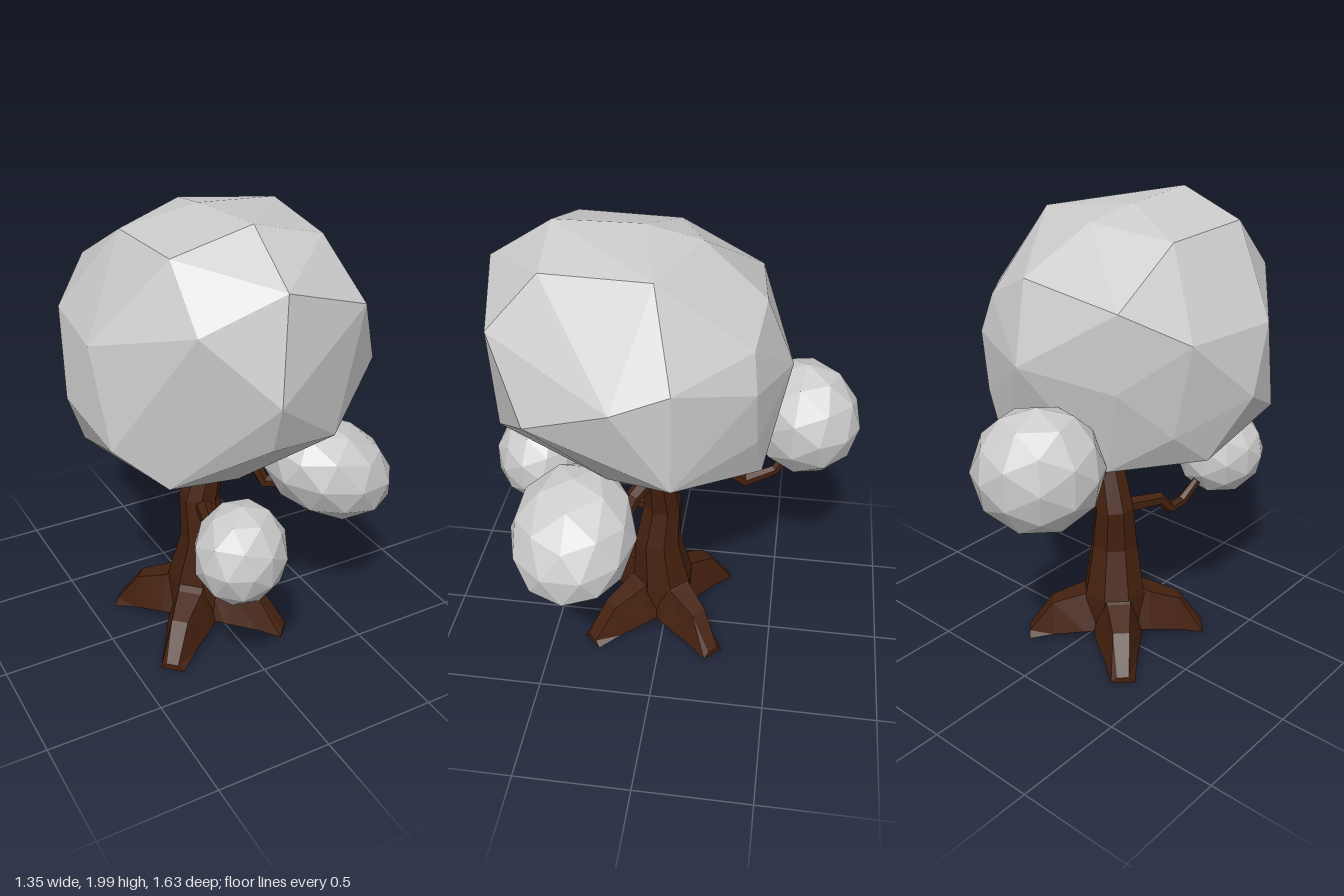
import * as THREE from 'three';
import { ConvexGeometry } from 'three/addons/geometries/ConvexGeometry.js';

const V = (x, y, z) => new THREE.Vector3(x, y, z);
const leafMat = new THREE.MeshStandardMaterial({ color: 0xcccccc, flatShading: true });
const barkMat = new THREE.MeshStandardMaterial({ color: 0x45210f, flatShading: true });

// Skin a list of equal-length rings (counter-clockwise about the path) and cap both ends.
function loft(rings) {
  const pos = [], idx = [], n = rings[0].length;
  rings.forEach(r => r.forEach(p => pos.push(p.x, p.y, p.z)));
  for (let i = 0; i < rings.length - 1; i++) {
    for (let j = 0; j < n; j++) {
      const a = i * n + j, b = i * n + (j + 1) % n;
      idx.push(a, b, b + n, a, b + n, a + n);
    }
  }
  const last = (rings.length - 1) * n;
  for (let j = 1; j < n - 1; j++) {
    idx.push(0, j + 1, j, last, last + j, last + j + 1);
  }
  const g = new THREE.BufferGeometry();
  g.setAttribute('position', new THREE.Float32BufferAttribute(pos, 3));
  g.setIndex(idx);
  const flat = g.toNonIndexed();
  flat.computeVertexNormals();
  return flat;
}

// Tapered limb along stations of [x, y, z, radius].
function limb(stations, sides, ref) {
  const pts = stations.map(s => V(s[0], s[1], s[2]));
  return loft(pts.map((p, i) => {
    const t = pts[Math.min(i + 1, pts.length - 1)].clone().sub(pts[Math.max(i - 1, 0)]).normalize();
    const u = ref.clone().cross(t).normalize(), v = t.clone().cross(u);
    return Array.from({ length: sides }, (_, k) => {
      const a = (k + 0.5) / sides * Math.PI * 2, r = stations[i][3];
      return p.clone().addScaledVector(u, Math.cos(a) * r).addScaledVector(v, Math.sin(a) * r);
    });
  }));
}

export function createModel() {
  const tree = new THREE.Group();
  const add = (name, geometry, material) => {
    const m = new THREE.Mesh(geometry, material);
    m.name = name;
    tree.add(m);
    return m;
  };

  // Leaning trunk
  add('trunk', limb([
    [-0.07, 0.08, 0.03, 0.15], [-0.068, 0.24, 0.02, 0.142], [-0.05, 0.47, 0.04, 0.106],
    [-0.065, 0.66, 0.02, 0.088], [-0.02, 0.84, 0.03, 0.073], [0.01, 0.94, 0.035, 0.078],
    [0.015, 0.985, 0.035, 0.062],
  ], 8, V(0, 0, 1)), barkMat);

  // Four diagonal roots: [distance, half width, underside, top]
  const sections = [[0.03, 0.11, 0.08, 0.31], [0.15, 0.105, 0.07, 0.24],
    [0.29, 0.072, 0.04, 0.187], [0.4, 0.052, 0.008, 0.035]];
  for (let k = 0; k < 4; k++) {
    const a = Math.PI / 4 + k * Math.PI / 2, c = Math.cos(a), s = Math.sin(a);
    add('root', loft(sections.map(([d, w, lo, hi]) =>
      [[w, lo], [w * 0.5, hi], [-w * 0.5, hi], [-w, lo]].map(([u, y]) =>
        V(-0.07 + c * d + s * u, y, 0.03 + s * d - c * u)))), barkMat);
  }

  // Crooked branches, each carrying a leaf clump
  const branches = {
    leftBranch: [[0, 0.89, 0.04, 0.043], [0.14, 0.84, 0.12, 0.035],
      [0.18, 0.735, 0.16, 0.031], [0.32, 0.74, 0.26, 0.022]],
    frontBranch: [[-0.07, 0.65, 0.05, 0.038], [-0.13, 0.625, 0.26, 0.031],
      [-0.15, 0.565, 0.31, 0.027], [-0.16, 0.575, 0.39, 0.024], [-0.19, 0.66, 0.46, 0.02]],
    backBranch: [[-0.01, 0.845, 0.03, 0.045], [-0.06, 0.885, -0.27, 0.036],
      [-0.08, 0.815, -0.34, 0.03], [-0.13, 0.85, -0.47, 0.024], [-0.16, 0.95, -0.53, 0.02]],
  };
  for (const [name, path] of Object.entries(branches)) {
    add(name, limb(path, 6, V(0, 1, 0)), barkMat);
  }

  // Small clumps: [name, centre, radii, yaw, tilt]
  [['leftLeaves', [0.395, 0.835, 0.325], [0.312, 0.212, 0.265], 0, -0.52],
    ['frontLeaves', [-0.198, 0.765, 0.617], [0.208, 0.207, 0.186], 0.8, 0],
    ['backLeaves', [-0.193, 1.107, -0.573], [0.26, 0.256, 0.228], 0.8, 0],
  ].forEach(([name, centre, radii, yaw, tilt]) => {
    const clump = add(name, new THREE.IcosahedronGeometry(1, 1), leafMat);
    clump.position.set(...centre);
    clump.scale.set(...radii);
    clump.rotation.set(0, yaw, tilt);
  });

  // Large faceted crown
  add('crown', new ConvexGeometry([
    // top
    [-0.07, 2, 0.45], [-0.1, 1.99, 0.09], [-0.38, 1.91, 0.41], [-0.38, 1.9, -0.02],
    [0.23, 1.92, 0.44], [0.29, 1.94, 0], [-0.07, 1.95, -0.14],
    // upper ring
    [-0.08, 1.83, 0.71], [0.3, 1.7, 0.64], [-0.38, 1.69, 0.62], [-0.64, 1.58, 0.26],
    [-0.59, 1.58, -0.16], [-0.4, 1.71, -0.36], [0.03, 1.77, -0.4], [0.24, 1.66, -0.37], [0.5, 1.6, -0.09],
    // middle ring
    [-0.14, 1.44, 0.79], [0.47, 1.39, 0.48], [0.55, 1.53, 0.13], [0.29, 1.5, -0.39],
    [-0.03, 1.46, -0.515], [-0.4, 1.4, -0.37], [-0.68, 1.32, 0.12],
    // lower ring
    [-0.13, 1.24, 0.72], [0.18, 1.2, 0.66], [0.5, 1.17, -0.09], [0.25, 1.26, -0.4],
    [-0.44, 1.05, 0.5], [-0.61, 1.19, 0.37], [-0.57, 1.06, -0.01], [-0.53, 1.2, -0.18],
    // underside
    [0, 0.945, -0.12], [0.15, 1.05, -0.42], [0.05, 0.97, -0.29], [-0.33, 1.05, -0.33],
    [-0.39, 0.985, 0.05], [-0.1, 0.96, 0.42], [0.27, 1.03, 0.2],
  ].map(p => V(...p))), leafMat);

  return tree;
}
